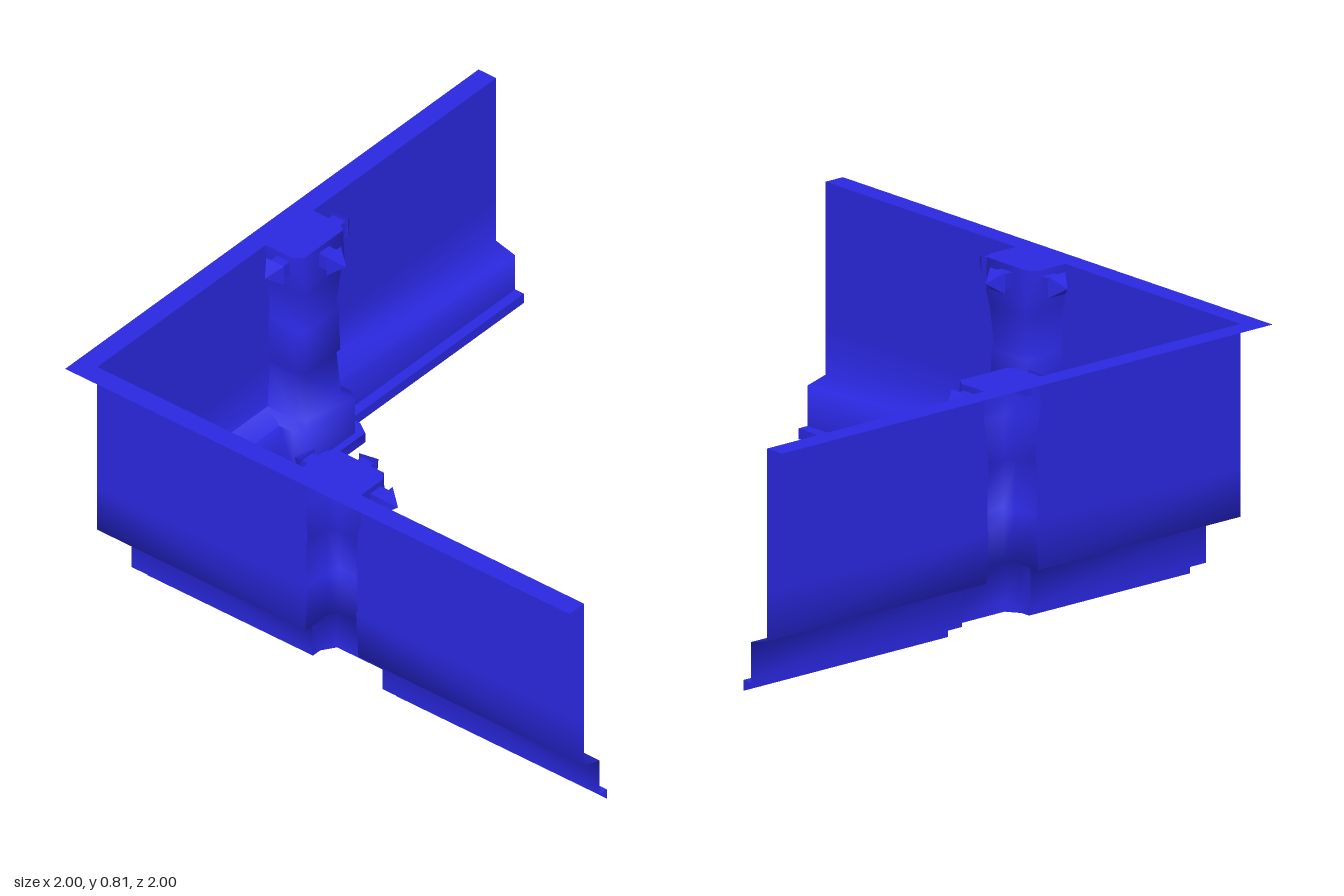
import * as THREE from 'three';
import { toCreasedNormals } from 'three/addons/utils/BufferGeometryUtils.js';

// Levels from top to bottom: [y, wall depth, pilaster half width, pilaster front, chamfer]
const LEVELS = [
  [0.805, 0, 0.115, 0, 0],
  [0.805, 0.07, 0.115, 0.205, 0.02],
  [0.7, 0.07, 0.115, 0.21, 0.02],
  [0.655, 0.07, 0.103, 0.205, 0.02],
  [0.53, 0.07, 0.096, 0.194, 0.02],
  [0.515, 0.07, 0.101, 0.198, 0.02],
  [0.36, 0.07, 0.101, 0.205, 0.02],
  [0.345, 0.07, 0.096, 0.194, 0.02],
  [0.185, 0.07, 0.105, 0.205, 0.02],
  [0.165, 0.145, 0.14, 0.235, 0.025],
  [0.035, 0.145, 0.14, 0.235, 0.025],
  [0.035, 0.18, 0.165, 0.26, 0.03],
  [0, 0.18, 0.165, 0.26, 0.03],
];

// One arm of the corner: thin wall sheet with lip, skirting and hollow pilaster
function armGeometry(place, flip) {
  const pos = [], index = [];
  const n = 8;
  LEVELS.forEach(([y, d, w, f, c]) => {
    const plan = [
      [-1 + d, d], [-w, d], [-w, Math.max(d, f - c * 1.5)], [-w + c, f],
      [w - c, f], [w, Math.max(d, f - c * 1.5)], [w, d], [1, d],
    ];
    plan.forEach(([s, depth]) => pos.push(...place(s, y, -1 + depth)));
  });
  for (let j = 0; j < LEVELS.length - 1; j++) {
    for (let i = 0; i < n - 1; i++) {
      const a = j * n + i, b = a + n, c = b + 1, d = a + 1;
      if (flip) index.push(a, c, b, a, d, c);
      else index.push(a, b, c, a, c, d);
    }
  }
  const geo = new THREE.BufferGeometry();
  geo.setAttribute('position', new THREE.Float32BufferAttribute(pos, 3));
  geo.setIndex(index);
  return toCreasedNormals(geo, 1.4);
}

// Square stud with a pyramid tip, pointing along +z
function makeSpike(material) {
  const spike = new THREE.Group();
  const stem = new THREE.Mesh(new THREE.BoxGeometry(0.05, 0.05, 0.06), material);
  stem.name = 'spikeStem';
  stem.position.z = 0.015;
  const tipGeo = new THREE.ConeGeometry(0.035 * Math.SQRT2, 0.05, 4)
    .rotateY(Math.PI / 4).rotateX(Math.PI / 2);
  const tip = new THREE.Mesh(toCreasedNormals(tipGeo, 0.3), material);
  tip.name = 'spikeTip';
  tip.position.z = 0.07;
  spike.add(stem, tip);
  return spike;
}

export function createModel() {
  const model = new THREE.Group();
  model.name = 'cornerWall';
  const material = new THREE.MeshStandardMaterial({ color: 0x2a28e0, side: THREE.DoubleSide });

  const arms = [
    { name: 'back', place: (s, y, q) => [s, y, q], flip: false },
    { name: 'right', place: (s, y, q) => [q, y, s], flip: true },
  ];
  // Spikes on each pilaster: position along wall, depth position, direction
  const spikes = [
    [0, -0.8, 0, 1],
    [0.11, -0.86, 1, 0],
    [-0.11, -0.86, -1, 0],
  ];

  for (const { name, place, flip } of arms) {
    const wall = new THREE.Mesh(armGeometry(place, flip), material);
    wall.name = name + 'Wall';
    model.add(wall);
    spikes.forEach(([s, q, ds, dq], i) => {
      const spike = makeSpike(material);
      spike.name = name + 'Spike' + (i + 1);
      spike.position.set(...place(s, 0.76, q));
      const [dx, , dz] = place(ds, 0, dq);
      spike.rotation.y = Math.atan2(dx, dz);
      model.add(spike);
    });
  }
  return model;
}
